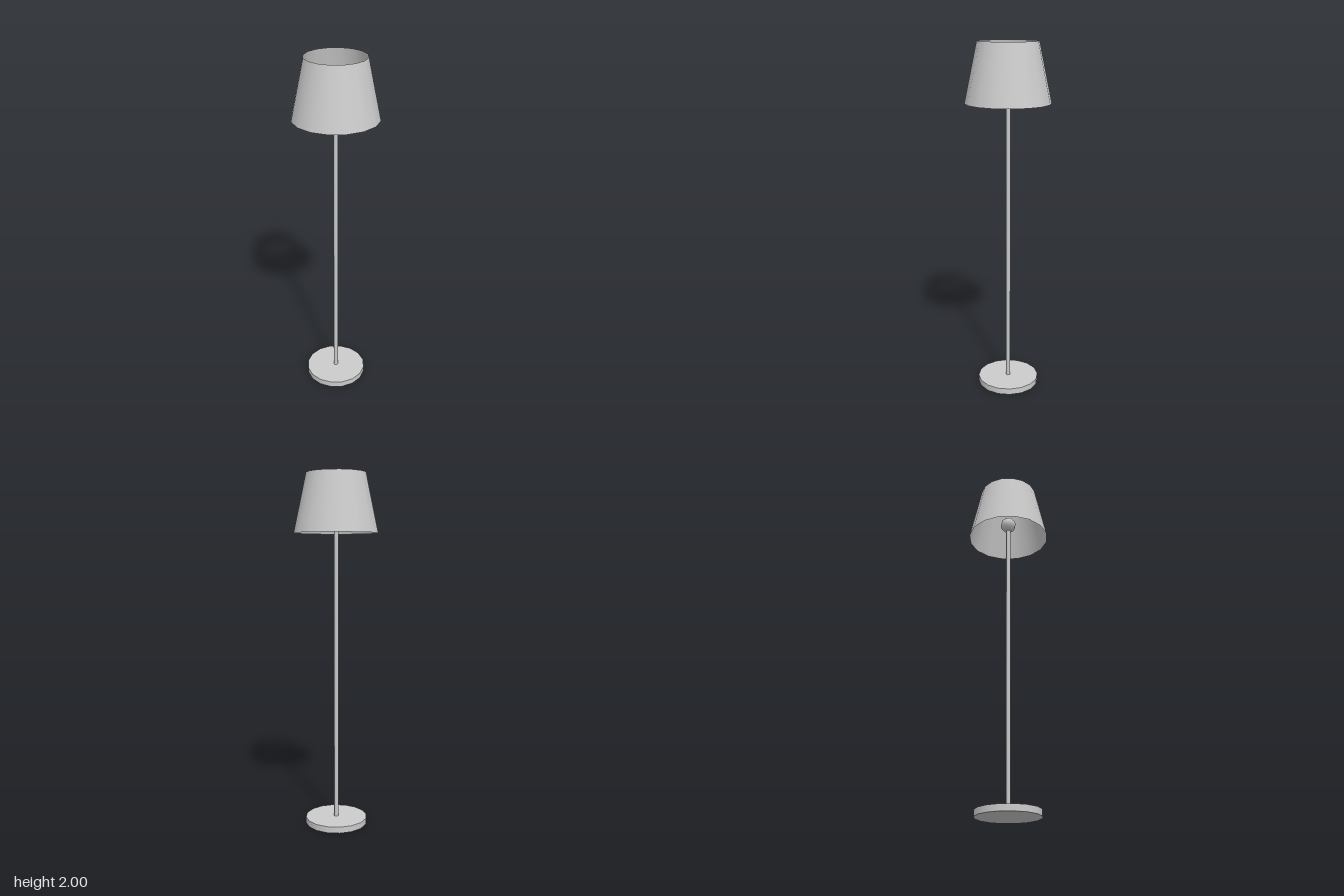
import * as THREE from 'three';

export function createModel() {
  const group = new THREE.Group();
  const grey = new THREE.MeshStandardMaterial({ color: 0xcccccc, side: THREE.DoubleSide });
  grey.name = 'light grey';

  const add = (name, geometry, y) => {
    const mesh = new THREE.Mesh(geometry, grey);
    mesh.name = name;
    mesh.position.y = y;
    group.add(mesh);
  };
  // Cylinder or cone section spanning two heights
  const column = (name, top, bottom, y0, y1, sides, open) =>
    add(name, new THREE.CylinderGeometry(top, bottom, y1 - y0, sides, 1, open), (y0 + y1) / 2);

  // Flat round foot and thin upright
  column('base', 0.178, 0.178, 0, 0.036, 16, false);
  column('pole', 0.013, 0.013, 0.036, 1.74, 8, false);

  // Bulb on top of the pole, inside the shade
  add('bulb', new THREE.SphereGeometry(0.047, 8, 6), 1.77);

  // Tapered shade, open at both ends
  column('shade', 0.167, 0.237, 1.673, 2, 16, true);

  return group;
}
